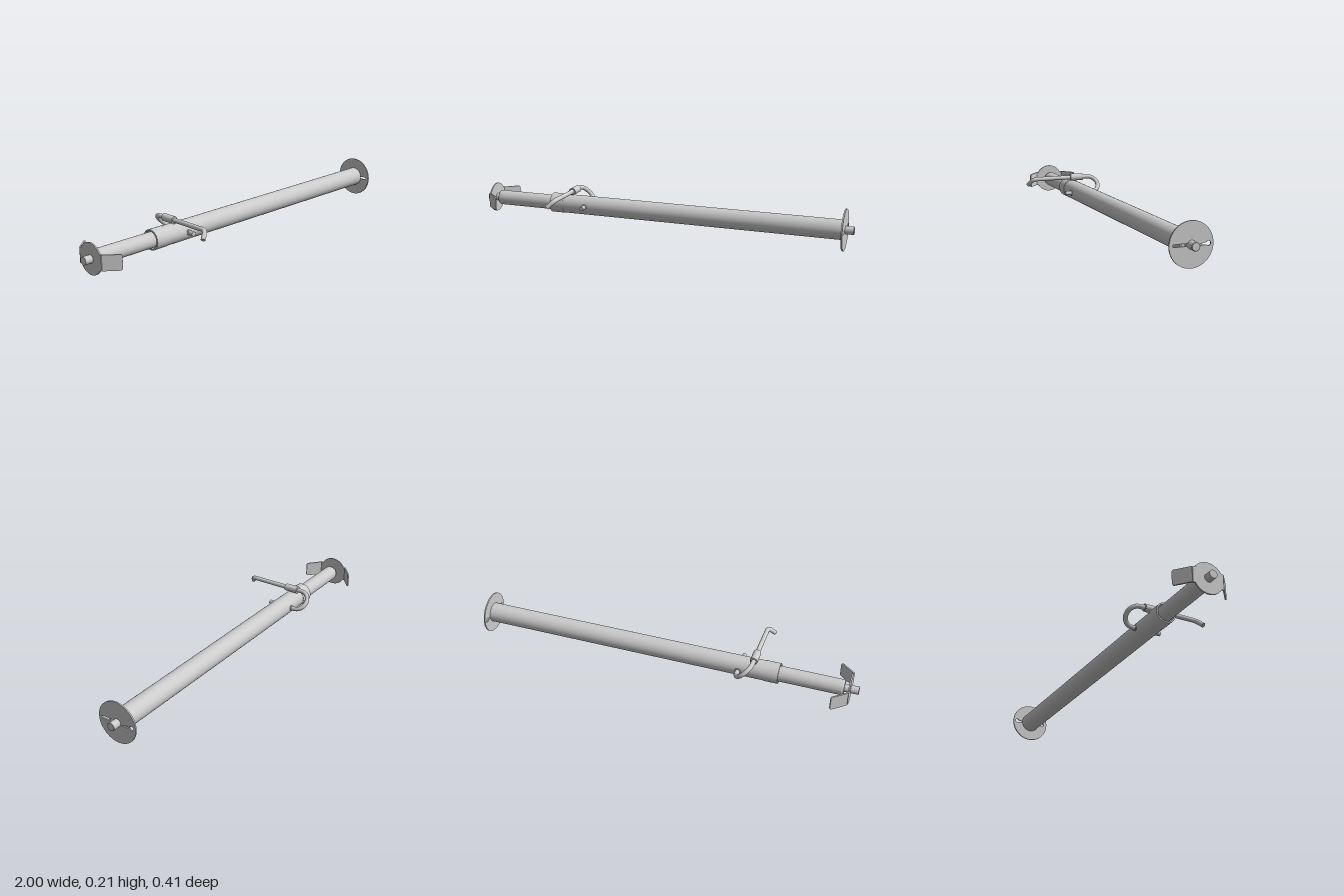
import * as THREE from 'three';

const AXIS_Y = 0.104, AXIS_Z = -0.066;
const material = new THREE.MeshStandardMaterial({ color: 0xcccccc, side: THREE.DoubleSide });

function part(name, geometry, parent) {
  const mesh = new THREE.Mesh(geometry, material);
  mesh.name = name;
  parent.add(mesh);
  return mesh;
}

// solid cylinder lying along x
function rodX(name, x0, x1, radius, parent) {
  const g = new THREE.CylinderGeometry(radius, radius, x1 - x0, 48).rotateZ(-Math.PI / 2);
  g.translate((x0 + x1) / 2, 0, 0);
  return part(name, g, parent);
}

// hollow tube along x: lathe of a closed wall profile
function pipeX(name, x0, x1, outer, inner, parent) {
  const ring = [[inner, x0], [outer, x0], [outer, x1], [inner, x1], [inner, x0]];
  const pts = [];
  for (let i = 0; i < 4; i++) pts.push(new THREE.Vector2(...ring[i]), new THREE.Vector2(...ring[i + 1]));
  return part(name, new THREE.LatheGeometry(pts, 48).rotateZ(-Math.PI / 2), parent);
}

// plate drawn in (z, y), thickened along x
function plateX(name, shape, x, thickness, parent) {
  const g = new THREE.ExtrudeGeometry(shape, { depth: thickness, bevelEnabled: false, curveSegments: 32 });
  g.rotateY(-Math.PI / 2).translate(x + thickness / 2, 0, 0);
  return part(name, g, parent);
}

function circle(radius) {
  const s = new THREE.Shape();
  s.absarc(0, 0, radius, 0, Math.PI * 2);
  return s;
}

// end disc with two radial slots, the rear one ending in a round eye
function slottedDisc() {
  const s = circle(0.104), h = 0.006;
  const front = new THREE.Path();
  front.moveTo(0.018, -h);
  front.lineTo(0.081, -h);
  front.absarc(0.081, 0, h, -Math.PI / 2, Math.PI / 2);
  front.lineTo(0.018, h);
  front.closePath();
  const rear = new THREE.Path(), eye = 0.011, a = Math.asin(h / eye);
  rear.moveTo(-0.018, h);
  rear.absarc(-0.081, 0, eye, a, Math.PI * 2 - a);
  rear.lineTo(-0.018, -h);
  rear.closePath();
  s.holes.push(front, rear);
  return s;
}

// rectangular wing with rounded outer corners, root at u = 0
function wingShape(length, half, r) {
  const s = new THREE.Shape();
  s.moveTo(0, -half);
  s.lineTo(length - r, -half);
  s.absarc(length - r, -half + r, r, -Math.PI / 2, 0);
  s.absarc(length - r, half - r, r, 0, Math.PI / 2);
  s.lineTo(0, half);
  s.closePath();
  return s;
}

export function createModel() {
  const model = new THREE.Group();
  model.name = 'adjustableProp';
  const body = new THREE.Group();
  body.name = 'propBody';
  body.position.set(0, AXIS_Y, AXIS_Z);
  model.add(body);

  // telescoping tubes
  pipeX('outerTube', -0.61, 0.95, 0.05, 0.044, body);
  pipeX('outerTubeCollar', -0.61, -0.535, 0.0515, 0.049, body);
  pipeX('innerTube', -0.92, -0.3, 0.039, 0.033, body);
  const cap = new THREE.CylinderGeometry(0.036, 0.039, 0.01, 48).rotateZ(Math.PI / 2);
  part('innerTubeCap', cap.translate(-0.925, 0, 0), body);

  // right end: slotted disc and spigot
  plateX('endDisc', slottedDisc(), 0.953, 0.007, body);
  rodX('rightSpigot', 0.93, 0.998, 0.02, body);
  const tip = new THREE.CylinderGeometry(0.018, 0.02, 0.002, 48).rotateZ(-Math.PI / 2);
  part('rightSpigotTip', tip.translate(0.999, 0, 0), body);

  // left end: round plate with two swept wings, and spigot
  const head = new THREE.Group();
  head.name = 'wingedHead';
  body.add(head);
  const thick = 0.007, px = -0.957;
  plateX('headPlate', circle(0.077), px, thick, head);
  rodX('leftSpigot', -1, -0.92, 0.02, head);
  const dx = 0.07, dz = 0.059, length = Math.hypot(dx, dz);
  for (const side of [1, -1]) {
    const tab = new THREE.BoxGeometry(thick, 0.076, 0.024);
    part('wingRoot', tab.translate(px, 0, side * 0.066), head);
    const g = new THREE.ExtrudeGeometry(wingShape(length, 0.038, 0.01), { depth: thick, bevelEnabled: false });
    g.translate(0, 0, -thick / 2);
    const wing = part('wing', g, head);
    wing.position.set(px, 0, side * 0.078);
    wing.rotation.y = -side * Math.atan2(dz, dx);
  }

  // locking pin: straight shank, half-circle bend tilted 45 degrees, handle with bent tip
  const pin = new THREE.Group();
  pin.name = 'lockingPin';
  model.add(pin);
  const low = new THREE.Vector3(-0.41, AXIS_Y, 0), high = new THREE.Vector3(-0.485, 0.179, 0);
  const mid = low.clone().add(high).multiplyScalar(0.5);
  const arm = low.clone().sub(mid), bendZ = -0.132, wire = 0.0115;
  const path = new THREE.CurvePath();
  const v = (p, z) => new THREE.Vector3(p.x, p.y, z);
  const bend = [];
  for (let i = 0; i <= 12; i++) {
    const t = (i / 12) * Math.PI;
    bend.push(v(mid.clone().addScaledVector(arm, Math.cos(t)), bendZ - Math.sin(t) * arm.length()));
  }
  const knee = v(high, 0.177), end = new THREE.Vector3(-0.519, 0.145, 0.198);
  const kneeOut = knee.clone().lerp(end, 0.4);
  path.add(new THREE.LineCurve3(v(low, 0.018), v(low, bendZ)));
  path.add(new THREE.CatmullRomCurve3(bend));
  path.add(new THREE.LineCurve3(v(high, bendZ), v(high, 0.155)));
  path.add(new THREE.QuadraticBezierCurve3(v(high, 0.155), knee, kneeOut));
  path.add(new THREE.LineCurve3(kneeOut, end));
  part('pinWire', new THREE.TubeGeometry(path, 200, wire, 20), pin);

  // flat ends of the wire
  const closeEnd = (name, point, dir) => {
    const m = part(name, new THREE.CircleGeometry(wire, 20), pin);
    m.position.copy(point);
    m.quaternion.setFromUnitVectors(new THREE.Vector3(0, 0, 1), dir);
  };
  closeEnd('pinEnd', v(low, 0.018), new THREE.Vector3(0, 0, 1));
  closeEnd('handleEnd', end, end.clone().sub(kneeOut).normalize());

  // sleeve gripping the handle above the tube
  const sleeve = new THREE.CylinderGeometry(0.019, 0.019, 0.072, 32).rotateX(Math.PI / 2);
  part('pinSleeve', sleeve.translate(high.x, high.y, -0.072), pin);

  // bushings where the shank enters and leaves the tube
  for (const side of [1, -1]) {
    const ring = new THREE.CylinderGeometry(0.015, 0.015, 0.008, 32).rotateX(Math.PI / 2);
    part('pinBushing', ring.translate(low.x, low.y, AXIS_Z + side * 0.049), pin);
  }
  return model;
}
